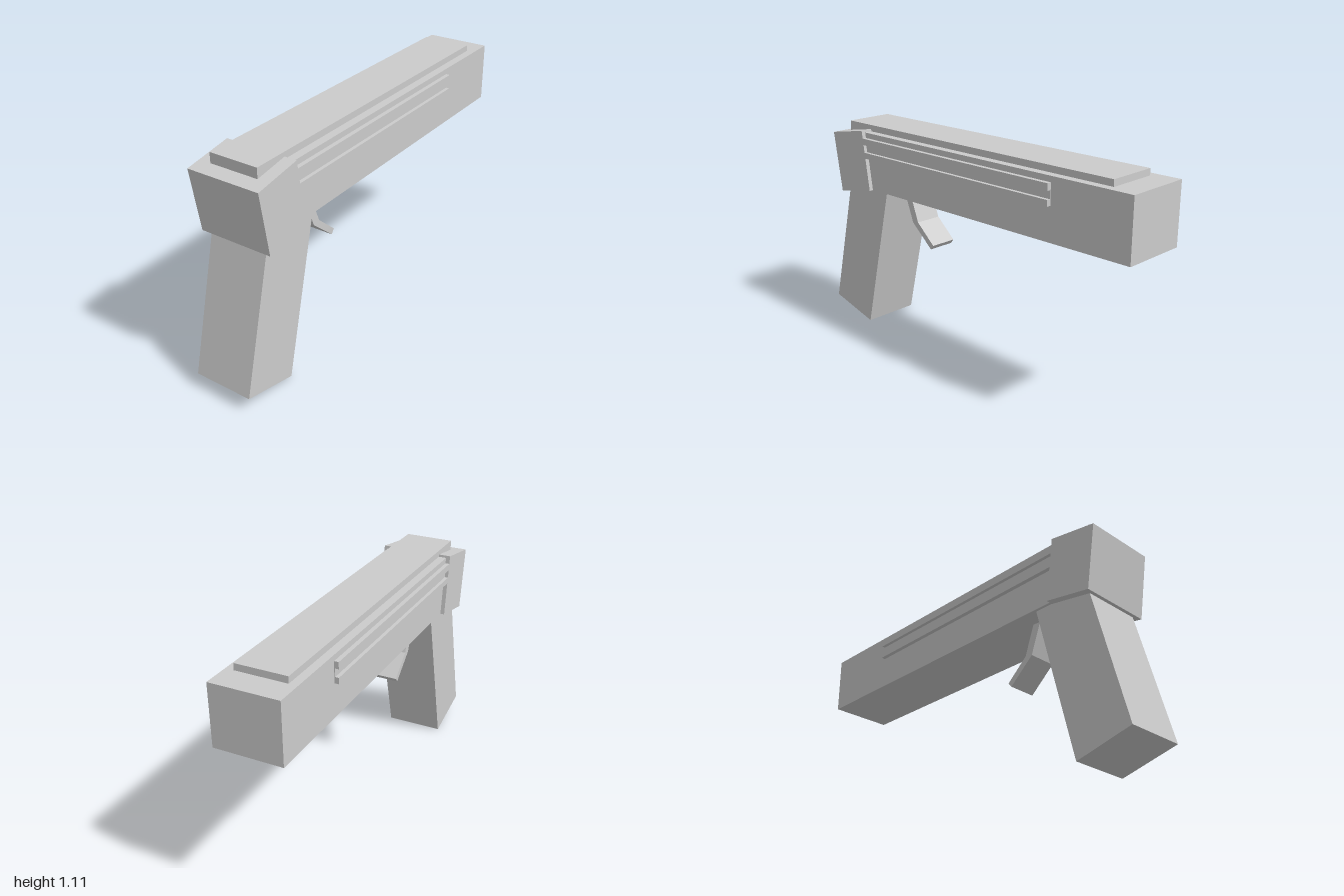
import * as THREE from 'three';

const material = new THREE.MeshStandardMaterial({ color: 0xcccccc, flatShading: true });

// Side profile given as [z, y] corners, extruded across x and centred on x.
function slab(name, profile, width, x = 0) {
  const shape = new THREE.Shape(profile.map(([z, y]) => new THREE.Vector2(z, y)));
  const geometry = new THREE.ExtrudeGeometry(shape, { depth: width, bevelEnabled: false });
  geometry.translate(0, 0, -width / 2).rotateY(-Math.PI / 2).translate(x, 0, 0);
  const mesh = new THREE.Mesh(geometry, material);
  mesh.name = name;
  return mesh;
}

export function createModel() {
  const model = new THREE.Group();
  model.name = 'blockPistol';

  // Long, slightly tilted main body and the plate along its top
  model.add(slab('body', [[0.72, 0.775], [-1, 0.792], [-0.998, 1.086], [0.72, 1.07]], 0.326));
  model.add(slab('topPlate', [[0.835, 1.03], [-0.872, 1.06], [-0.87, 1.116], [0.835, 1.102]], 0.246));

  // Tilted block at the rear
  model.add(slab('rearBlock', [[0.855, 0.73], [0.62, 0.775], [0.665, 1.082], [0.905, 1.04]], 0.368));

  // Raking handle
  model.add(slab('grip', [[1, 0.075], [0.713, 0.003], [0.506, 0.85], [0.805, 0.85]], 0.296));

  // Bent trigger
  model.add(slab('trigger', [
    [0.49, 0.82], [0.417, 0.626], [0.283, 0.512],
    [0.265, 0.535], [0.378, 0.634], [0.448, 0.82],
  ], 0.14));

  // Two rails on each side, with a shallow strip between them
  for (const side of [1, -1]) {
    const rails = new THREE.Group();
    rails.name = side > 0 ? 'leftRails' : 'rightRails';
    for (const [name, top, bottom, reach] of [
      ['upperRail', 1.054, 1.021, 0.184],
      ['lowerRail', 0.982, 0.952, 0.184],
      ['railStrip', 1.03, 0.97, 0.167],
    ]) {
      const profile = [[0.68, bottom - 0.011], [-0.58, bottom], [-0.58, top], [0.68, top - 0.011]];
      rails.add(slab(name, profile, reach - 0.14, side * (reach + 0.14) / 2));
    }
    model.add(rails);
  }
  return model;
}
